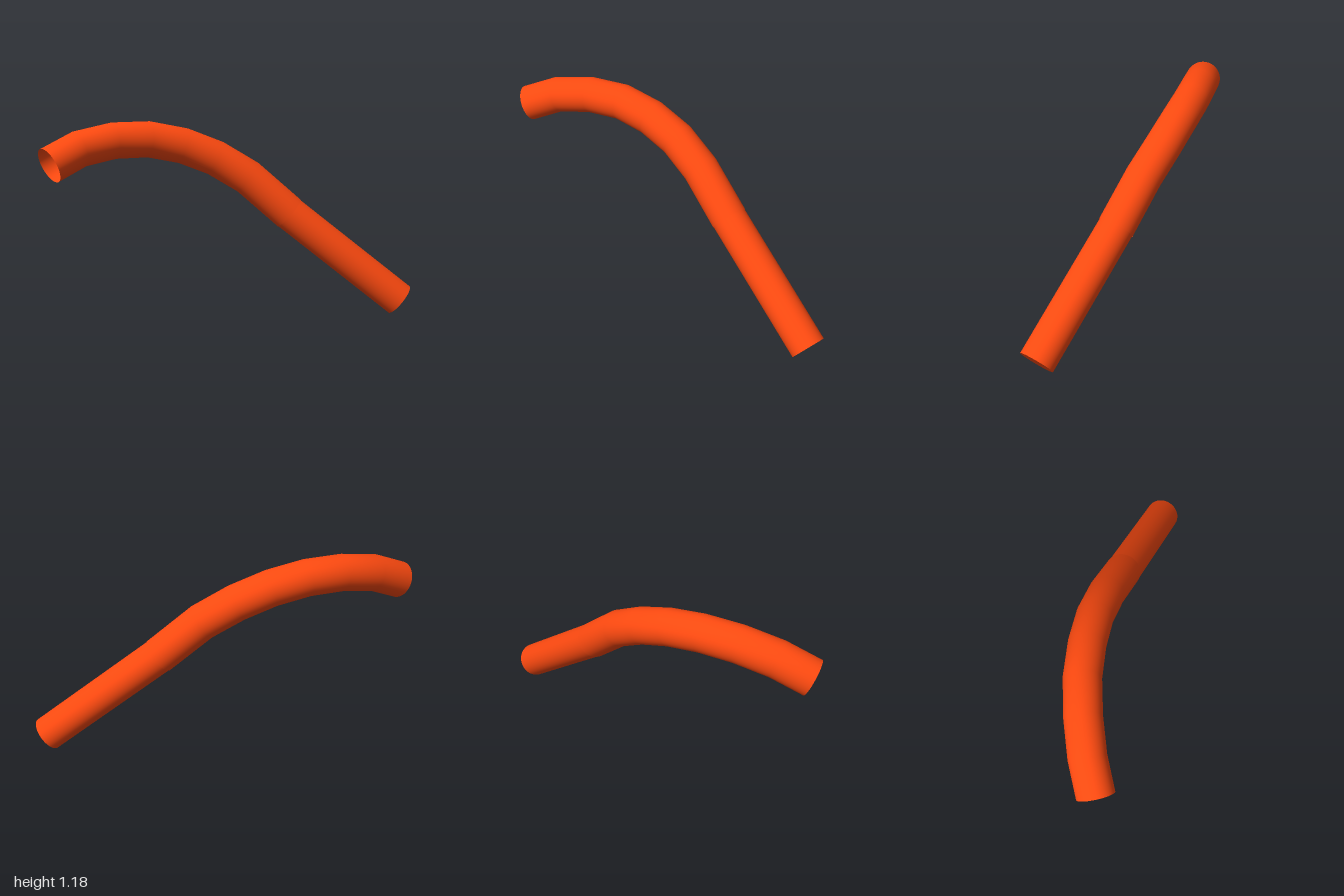
import * as THREE from 'three';

const V = (x, y, z) => new THREE.Vector3(x, y, z);

export function createModel() {
  const group = new THREE.Group();
  const material = new THREE.MeshStandardMaterial({ color: 0xff4a10, side: THREE.DoubleSide });

  // Bent hose, open at the front, one ring per control point
  const points = [
    V(-0.465, 0.952, 0.95), V(-0.455, 1.035, 0.757), V(-0.42, 1.073, 0.547), V(-0.367, 1.073, 0.338),
    V(-0.29, 1.03, 0.145), V(-0.2, 0.952, -0.03), V(-0.09, 0.835, -0.19), V(0.062, 0.617, -0.387),
  ];
  const path = new THREE.CatmullRomCurve3(points);
  path.getUtoTmapping = (u) => u; // keep rings on the control points
  const hose = new THREE.Mesh(new THREE.TubeGeometry(path, points.length - 1, 0.106, 48), material);
  hose.name = 'bentHose';
  group.add(hose);

  // Straight, slightly thinner pipe sliding into the hose, closed at its ends
  const end = V(0.478, 0.081, -0.92);
  const start = points[7].clone().lerp(end, -0.04);
  const pipe = new THREE.Mesh(new THREE.CylinderGeometry(0.103, 0.103, start.distanceTo(end), 48), material);
  pipe.position.copy(start).add(end).multiplyScalar(0.5);
  pipe.quaternion.setFromUnitVectors(V(0, 1, 0), end.clone().sub(start).normalize());
  pipe.name = 'straightPipe';
  group.add(pipe);

  return group;
}
